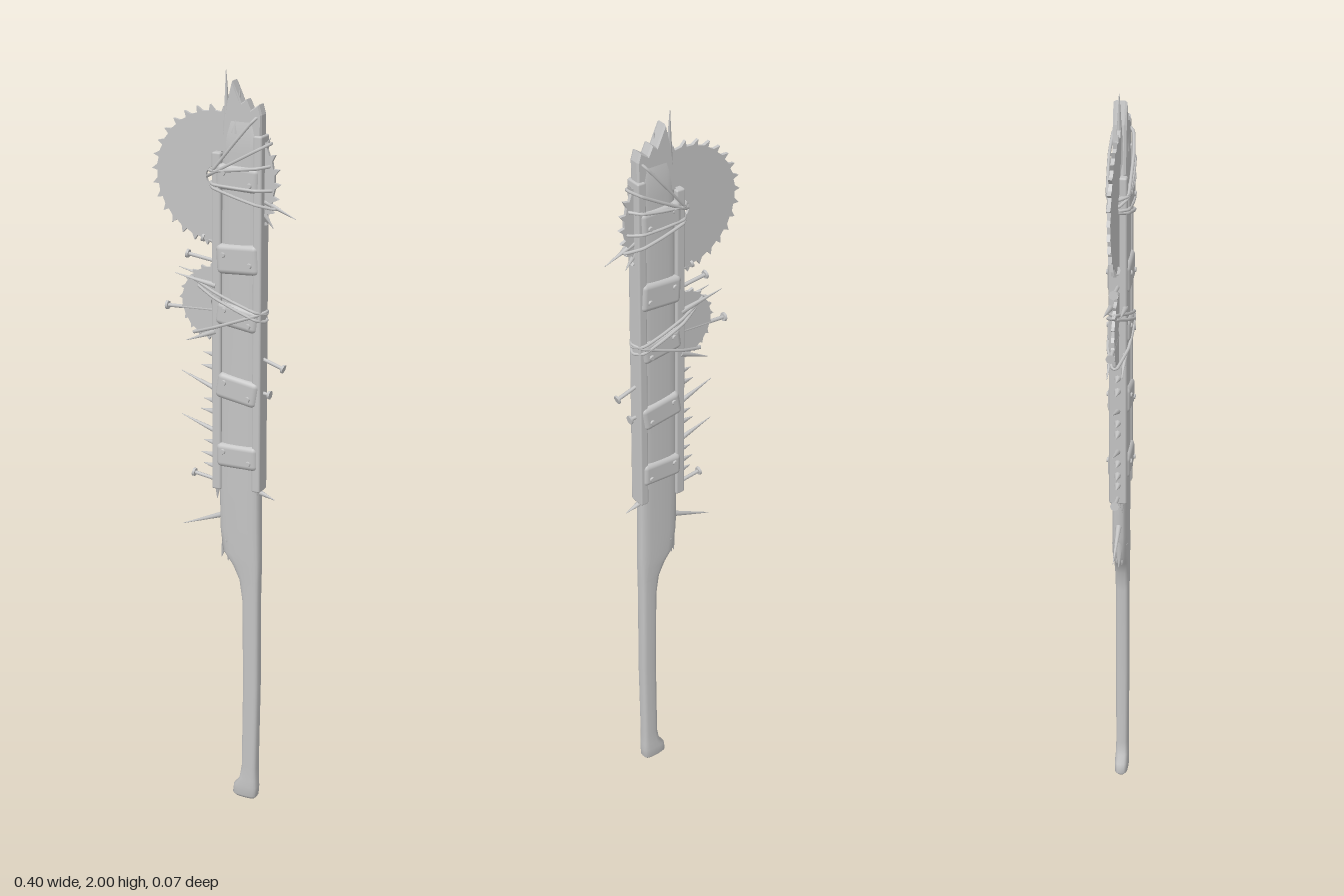
import * as THREE from 'three';
import { RoundedBoxGeometry } from 'three/addons/geometries/RoundedBoxGeometry.js';

const grey = new THREE.MeshStandardMaterial({ color: 0xc4c4c4 });
grey.name = 'worn grey';

export function createModel() {
  const root = new THREE.Group();
  root.name = 'spikedClub';
  const add = (geo, name, parent = root) => {
    const m = new THREE.Mesh(geo, grey);
    m.name = name;
    parent.add(m);
    return m;
  };
  const V = (a) => new THREE.Vector3(a[0], a[1], a[2] || 0);

  // Smooth loft through rounded-box sections: [y, xLow, xHigh, halfDepth]
  const loft = (rows, n = 20, power = 0.6) => {
    const pos = [], idx = [];
    const soft = (v) => Math.sign(v) * Math.abs(v) ** power;
    rows.forEach(([y, x0, x1, hz]) => {
      for (let i = 0; i < n; i++) {
        const a = (i / n) * Math.PI * 2;
        pos.push((x0 + x1) / 2 + soft(Math.cos(a)) * (x1 - x0) / 2, y, soft(Math.sin(a)) * hz);
      }
    });
    for (let r = 0; r < rows.length - 1; r++) {
      for (let i = 0; i < n; i++) {
        const a = r * n + i, b = r * n + (i + 1) % n;
        idx.push(a, a + n, b, b, a + n, b + n);
      }
    }
    // End caps
    [0, rows.length - 1].forEach((r) => {
      const c = pos.length / 3, [y, x0, x1] = rows[r];
      pos.push((x0 + x1) / 2, y, 0);
      for (let i = 0; i < n; i++) {
        const a = r * n + i, b = r * n + (i + 1) % n;
        if (r) idx.push(c, b, a); else idx.push(c, a, b);
      }
    });
    const g = new THREE.BufferGeometry();
    g.setAttribute('position', new THREE.Float32BufferAttribute(pos, 3));
    g.setIndex(idx);
    g.computeVertexNormals();
    return g;
  };

  // Tapered rod from a to b
  const rod = (a, b, r0, r1, name, parent) => {
    const p = V(a), q = V(b), d = q.clone().sub(p);
    const m = add(new THREE.CylinderGeometry(r1, r0, d.length(), 8), name, parent);
    m.position.copy(p).add(q).multiplyScalar(0.5);
    m.quaternion.setFromUnitVectors(new THREE.Vector3(0, 1, 0), d.normalize());
    return m;
  };
  const spike = (a, b, r = 0.008) => rod(a, b, r, 0.0008, 'spike');
  const nail = (a, b) => {
    const g = new THREE.Group();
    g.name = 'nail';
    root.add(g);
    rod(a, b, 0.005, 0.005, 'nailShaft', g);
    const tip = V(b).add(V(b).sub(V(a)).normalize().multiplyScalar(0.006));
    rod(b, tip.toArray(), 0.011, 0.012, 'nailHead', g);
  };

  // Wooden handle, shoulder and core
  add(loft([
    [0.003, 0.038, 0.095, 0.012], [0.012, 0.03, 0.102, 0.018], [0.04, 0.034, 0.104, 0.019],
    [0.06, 0.05, 0.103, 0.018], [0.1, 0.057, 0.102, 0.017], [0.35, 0.06, 0.106, 0.018],
    [0.6, 0.057, 0.105, 0.018], [0.66, 0.048, 0.106, 0.019], [0.7, 0.028, 0.107, 0.02],
    [0.735, 0.0, 0.107, 0.021], [0.8, -0.008, 0.106, 0.021], [0.92, -0.01, 0.105, 0.021],
    [1.4, -0.008, 0.104, 0.02], [1.8, -0.002, 0.104, 0.021], [1.88, 0.004, 0.103, 0.018],
  ]), 'woodenCore');

  // Splintered top and shoulder
  const crown = new THREE.Shape([
    [-0.004, 1.8], [0.106, 1.8], [0.107, 1.9], [0.099, 1.925], [0.077, 1.91], [0.065, 1.935],
    [0.052, 1.925], [0.027, 1.977], [0.012, 1.92],
  ].map((p) => new THREE.Vector2(...p)));
  add(new THREE.ExtrudeGeometry(crown, {
    depth: 0.022, bevelThickness: 0.006, bevelSize: 0.003, bevelOffset: -0.003, bevelSegments: 1,
  }).translate(0, 0, -0.011), 'splinteredTop');
  [
    [[0.008, 1.8], [0.004, 2.0], 0.013], [[0.035, 1.85, 0.008], [0.045, 1.955, 0.006], 0.014],
    [[0.008, 0.78], [-0.008, 0.71], 0.015], [[0.018, 0.77, 0.008], [0.014, 0.705, 0.006], 0.013],
    [[0.018, 0.77, -0.008], [0.005, 0.715, -0.008], 0.013],
  ].forEach(([a, b, r]) => spike(a, b, r).name = 'splinter');

  // Boards along both edges
  [[-0.013, 0.026, 0.91, 1.8], [0.1, 0.024, 0.92, 1.85]].forEach(([x, w, y0, y1]) => {
    const board = add(new RoundedBoxGeometry(w, y1 - y0, 0.046, 1, 0.005), 'sideBoard');
    board.position.set(x, (y0 + y1) / 2, 0);
    spike([x, y0 + 0.02, 0.01], [x - 0.003, y0 - 0.03, 0.01], 0.01).name = 'splinter';
  });

  // Toothed discs
  const saw = (name, x, y, r, hole, teeth, thick) => {
    const s = new THREE.Shape();
    for (let i = 0; i < teeth; i++) {
      const a = (i / teeth) * Math.PI * 2, st = (Math.PI * 2) / teeth;
      const pt = (rad, ang) => [Math.cos(ang) * rad, Math.sin(ang) * rad];
      if (i) s.lineTo(...pt(r * 0.91, a)); else s.moveTo(...pt(r * 0.91, a));
      s.lineTo(...pt(r * 0.92, a + st * 0.55));
      s.lineTo(...pt(r, a + st * 0.9));
    }
    s.closePath();
    s.holes.push(new THREE.Path().absarc(0, 0, hole, 0, Math.PI * 2, true));
    add(new THREE.ExtrudeGeometry(s, { depth: thick, bevelEnabled: false })
      .translate(0, 0, -thick / 2), name).position.set(x, y, 0);
  };
  saw('largeSawBlade', -0.024, 1.735, 0.178, 0.026, 30, 0.009);
  saw('smallSawBlade', -0.025, 1.41, 0.102, 0.012, 22, 0.008);

  // Riveted bands
  [[1.74, 0.065, -0.03], [1.535, 0.078, 0.06], [1.385, 0.062, -0.14], [1.192, 0.07, -0.16],
    [1.01, 0.066, 0.02]].forEach(([y, h, tilt]) => {
    const band = new THREE.Group();
    band.name = 'band';
    band.position.set(0.046, y, 0);
    band.rotation.z = tilt;
    root.add(band);
    add(new RoundedBoxGeometry(0.118, h, 0.058, 3, 0.014), 'bandPlate', band);
    [-1, 1].forEach((sx) => [-1, 1].forEach((sz) => {
      const rivet = add(new THREE.CylinderGeometry(0.006, 0.008, 0.006, 8), 'rivet', band);
      rivet.position.set(sx * 0.036, -sx * 0.012, sz * 0.03);
      rivet.rotation.x = sz * Math.PI / 2;
    }));
  });

  // Wire loops around the boards and discs: [xLow, yLow, xHigh, yHigh]
  [
    [-0.045, 1.735, 0.125, 1.83], [-0.04, 1.75, 0.125, 1.775], [-0.035, 1.715, 0.14, 1.67],
    [-0.035, 1.72, 0.13, 1.715], [-0.025, 1.75, 0.1, 1.9], [-0.09, 1.47, 0.118, 1.4],
    [-0.085, 1.325, 0.118, 1.405], [-0.07, 1.45, 0.116, 1.38],
  ].forEach(([x0, y0, x1, y1]) => {
    const at = (x, z) => new THREE.Vector3(x, y0 + (y1 - y0) * (x - x0) / (x1 - x0), z);
    const pts = [at(x0, 0.006), at(-0.018, 0.026), at(0.045, 0.03), at(0.1, 0.027), at(x1, 0.006),
      at(x1, -0.006), at(0.1, -0.027), at(0.045, -0.03), at(-0.018, -0.026), at(x0, -0.006)];
    if (x1 <= 0.1) { pts[3] = at(0.085, 0.025); pts[6] = at(0.085, -0.025); }
    const path = new THREE.CatmullRomCurve3(pts, true, 'catmullrom', 0.2);
    add(new THREE.TubeGeometry(path, 60, 0.0042, 6, true), 'wireLoop');
  });

  // Bare spikes
  [
    [[-0.015, 1.175], [-0.125, 1.215]], [[-0.015, 1.06], [-0.125, 1.095]],
    [[0.0, 0.835], [-0.122, 0.785]], [[0.1, 1.69], [0.195, 1.65]],
    [[0.105, 1.66], [0.135, 1.62]], [[0.1, 0.915], [0.145, 0.9]],
    [[-0.015, 1.46, 0.018], [-0.13, 1.48, 0.02]], [[-0.015, 1.46, -0.018], [-0.14, 1.485, -0.02]],
    [[-0.015, 1.34, 0.018], [-0.1, 1.305, 0.02]], [[-0.015, 1.34, -0.018], [-0.1, 1.3, -0.018]],
    [[0.1, 1.8], [0.125, 1.845]],
  ].forEach(([a, b]) => spike(a, b));
  [1.27, 1.235, 1.145, 1.115, 1.03, 0.995, 0.965].forEach((y, i) => {
    spike([-0.015, y], [-0.06 - (i % 2) * 0.008, y + 0.004], 0.011);
  });

  // Headed nails
  [
    [[0, 1.515], [-0.1, 1.528]], [[0, 1.392], [-0.16, 1.385]], [[0, 0.925], [-0.085, 0.937]],
    [[0.09, 1.285], [0.162, 1.262]], [[0.09, 1.19], [0.125, 1.186]], [[0, 1.56], [-0.055, 1.575]],
  ].forEach(([a, b]) => nail(a, b));

  return root;
}
